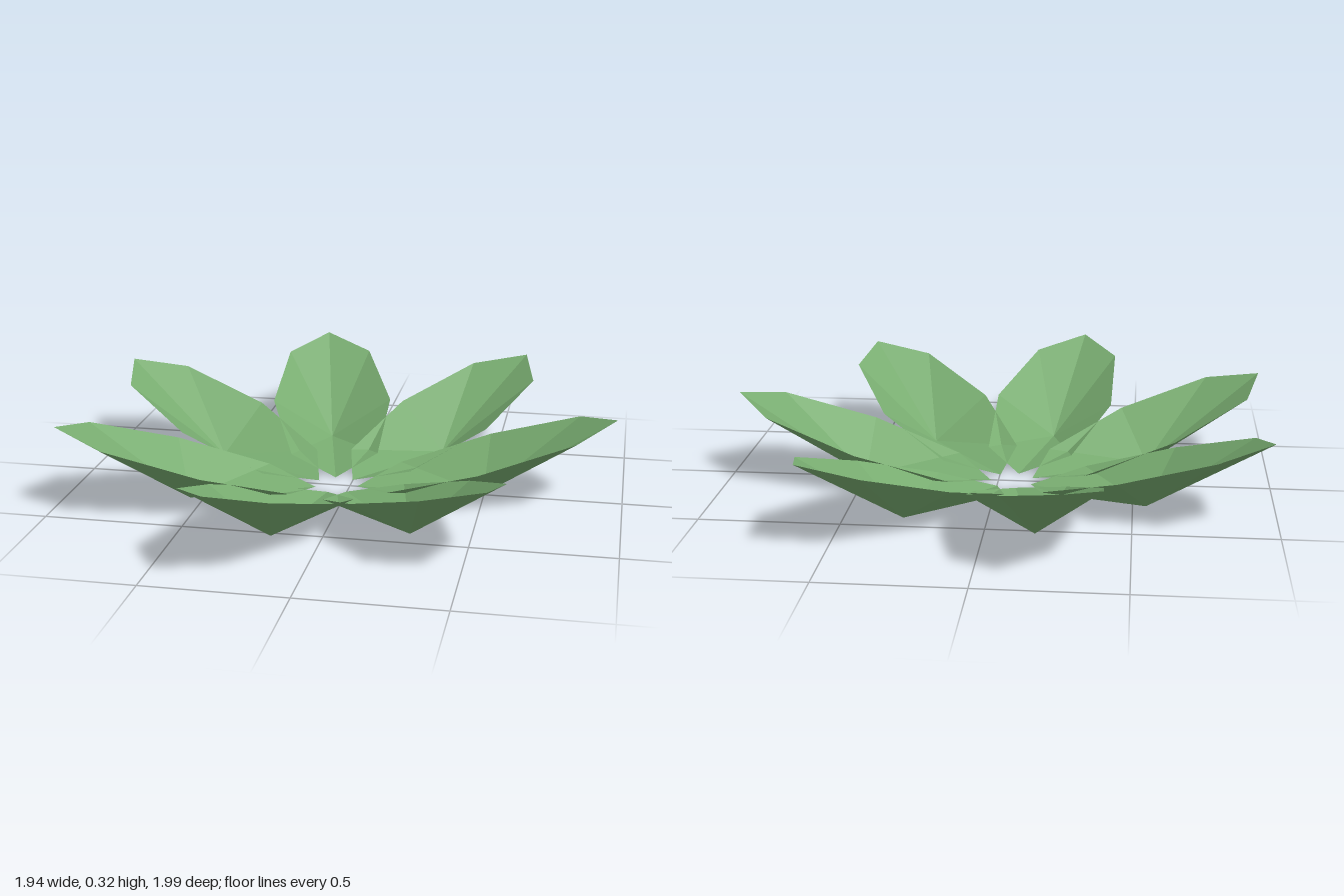
import * as THREE from 'three';

const PETALS = 7;

// Shallow eight-sided cup: an upside-down open cone, stretched and sheared so
// its rim rises from the plant's centre to the petal tip.
function petalGeometry() {
  const geometry = new THREE.ConeGeometry(1, 1, 8, 1, true);
  geometry.rotateX(Math.PI);
  geometry.translate(0, 0.5, 0); // lowest point at y = 0, rim at y = 1
  geometry.applyMatrix4(new THREE.Matrix4().set(
    0.47, 0, 0, 0.55,
    0.158, 0.153, 0, 0.005,
    0, 0, 0.235, 0,
    0, 0, 0, 1,
  ));
  return geometry;
}

export function createModel() {
  const leafGreen = new THREE.MeshStandardMaterial({
    color: 0x78ac70, flatShading: true, side: THREE.DoubleSide,
  });
  leafGreen.name = 'leafGreen';

  const model = new THREE.Group();
  model.name = 'leafRosette';

  // Ring of petals around an open centre
  const geometry = petalGeometry();
  for (let i = 0; i < PETALS; i++) {
    const petal = new THREE.Mesh(geometry, leafGreen);
    petal.name = `petal${i + 1}`;
    petal.position.x = -0.052;
    petal.rotation.y = (i / PETALS) * Math.PI * 2;
    model.add(petal);
  }
  return model;
}
